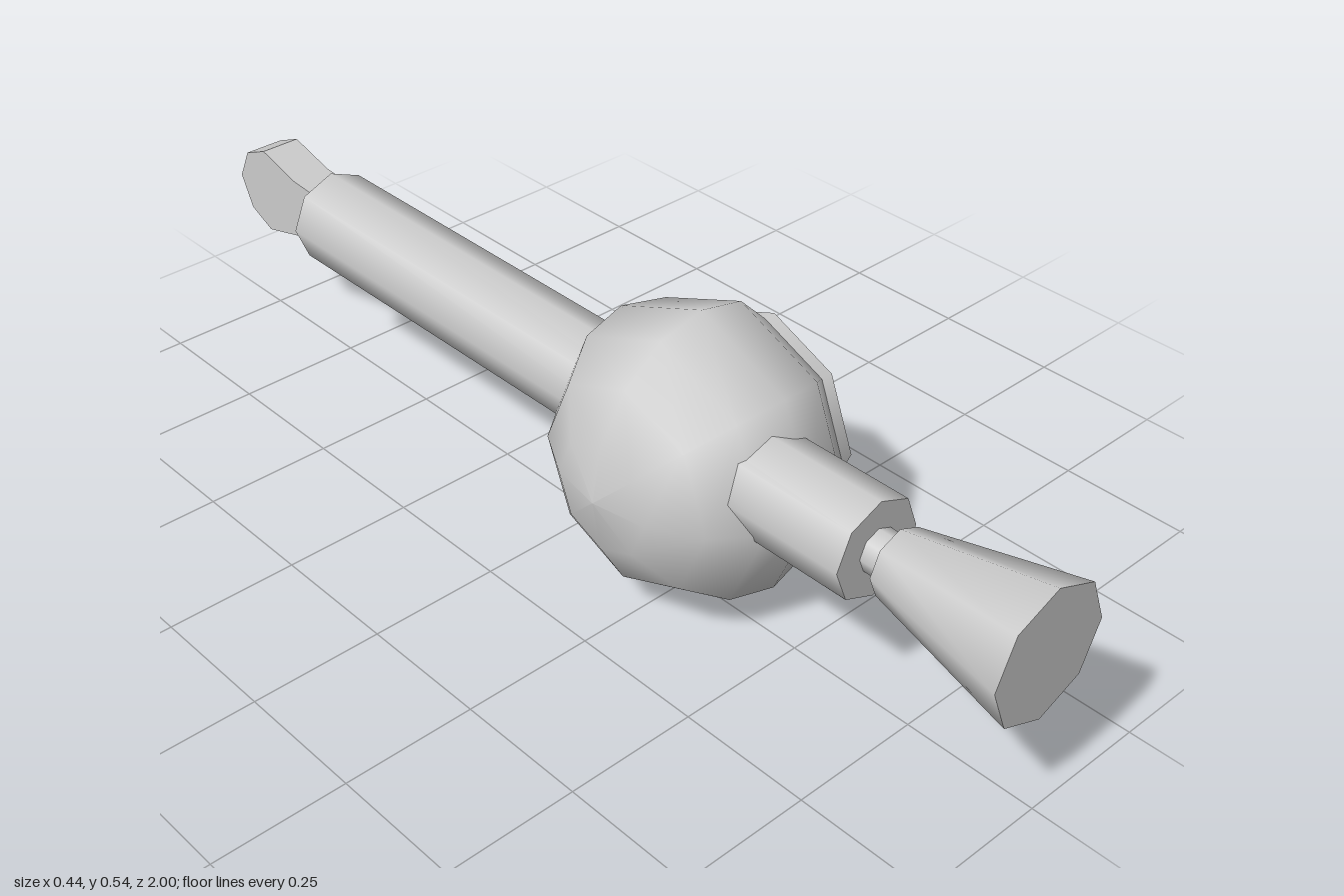
import * as THREE from 'three';

const SIDES = 8;
const AXIS = { x: -0.021, y: 0.325 };          // line of the long shaft
const BODY = { x: 0.017, y: 0.272, z: 0.238 }; // centre of the round body

export function createModel() {
  const group = new THREE.Group();
  const material = new THREE.MeshStandardMaterial({ color: 0xcccccc });

  function add(name, geometry, x, y, z) {
    const mesh = new THREE.Mesh(geometry, material);
    mesh.name = name;
    mesh.position.set(x, y, z);
    group.add(mesh);
  }

  // Eight-sided rod along z, from back to front
  function rod(name, zBack, zFront, rBack, rFront) {
    const g = new THREE.CylinderGeometry(rFront, rBack, zFront - zBack, SIDES);
    g.rotateX(Math.PI / 2);
    add(name, g, AXIS.x, AXIS.y, (zBack + zFront) / 2);
  }

  // Profile of [radius, x] points turned around the x axis
  function turned(name, points) {
    const g = new THREE.LatheGeometry(points.map(([r, h]) => new THREE.Vector2(r, h)), SIDES);
    g.rotateZ(-Math.PI / 2);
    add(name, g, 0, BODY.y, BODY.z);
  }

  // Round body, cut off where the side cap sits
  const profile = [];
  for (let i = 0; i <= 5; i++) {
    const a = (i * Math.PI) / 8;
    profile.push([0.271 * Math.sin(a), BODY.x - 0.239 * Math.cos(a)]);
  }
  profile.push([0.192, 0.168]);
  turned('body', profile);

  // Side cap: rim and shallow dome
  turned('capRim', [[0.192, 0.168], [0.192, 0.192]]);
  turned('capDome', [[0.192, 0.192], [0.104, 0.21], [0, 0.22]]);

  // Shaft through the body, with neck and flared end
  rod('shaft', -0.74, 0.67, 0.092, 0.092);
  rod('neck', 0.66, 0.72, 0.04, 0.04);
  rod('flare', 0.71, 1, 0.062, 0.125);

  // Flat rounded blade at the back, drawn in (-z, y) and given thickness in x
  const outline = [
    [0.73, 0.269], [0.81, 0.264], [0.91, 0.237], [0.97, 0.264], [1, 0.326],
    [0.97, 0.387], [0.91, 0.413], [0.81, 0.386], [0.73, 0.381],
  ];
  const blade = new THREE.ExtrudeGeometry(
    new THREE.Shape(outline.map(([u, v]) => new THREE.Vector2(u, v))),
    { depth: 0.08, bevelEnabled: false },
  );
  blade.translate(0, 0, -0.04);
  blade.rotateY(Math.PI / 2);
  add('blade', blade, AXIS.x, 0, 0);

  return group;
}
